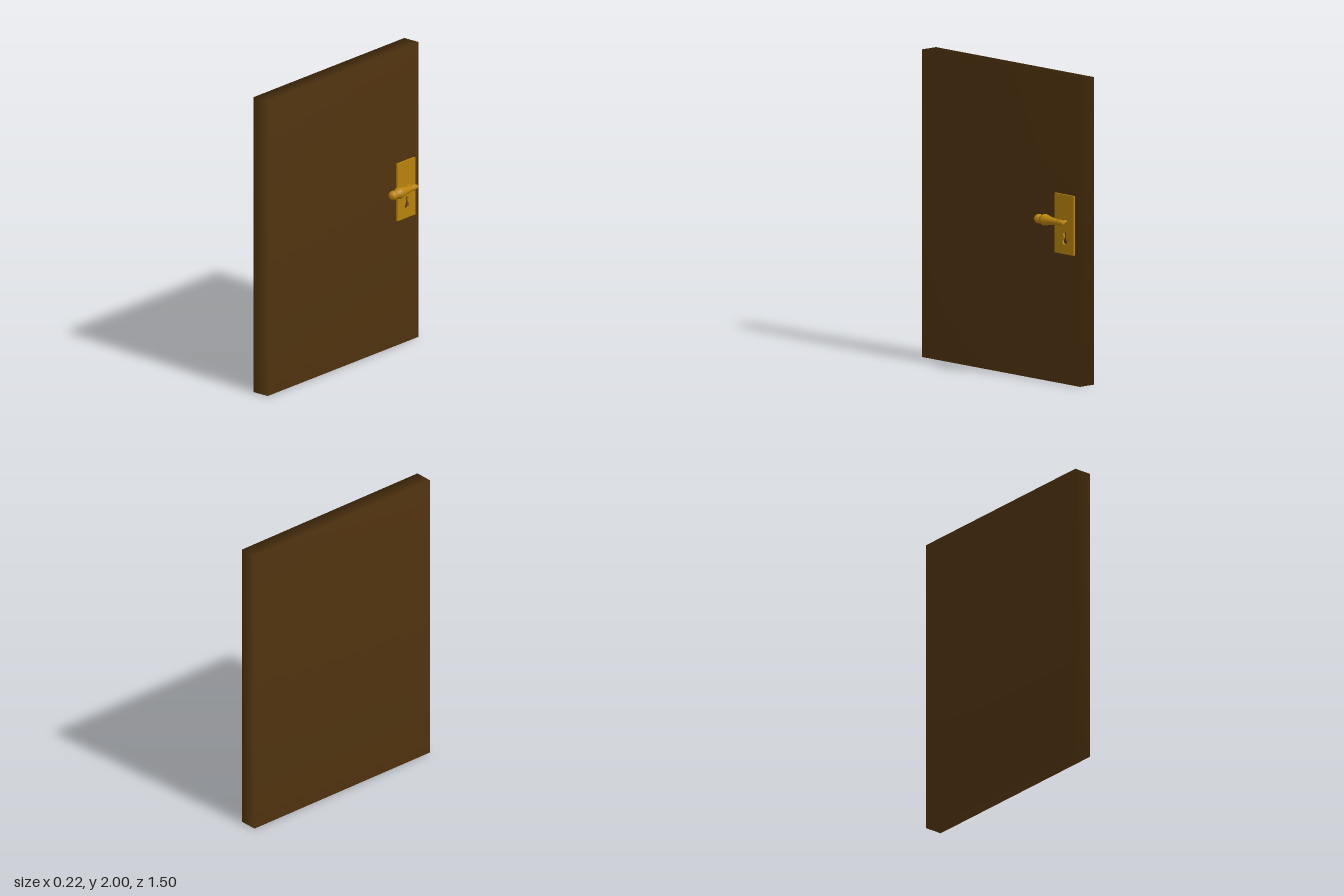
import * as THREE from 'three';
import { mergeVertices } from 'three/addons/utils/BufferGeometryUtils.js';

export function createModel() {
  const model = new THREE.Group();
  model.name = 'door';

  const wood = new THREE.MeshStandardMaterial({ color: 0x50330f });
  wood.name = 'dark wood';
  const brass = new THREE.MeshStandardMaterial({ color: 0xb8820c });
  brass.name = 'brass';

  const add = (parent, name, geometry, material, x = 0, y = 0, z = 0) => {
    const mesh = new THREE.Mesh(geometry, material);
    mesh.name = name;
    mesh.position.set(x, y, z);
    parent.add(mesh);
    return mesh;
  };

  // Door leaf: shared corners give soft, area-weighted normals around the rim
  let leaf = new THREE.BoxGeometry(0.12, 2, 1.5);
  leaf.deleteAttribute('normal');
  leaf.deleteAttribute('uv');
  leaf = mergeVertices(leaf);
  leaf.computeVertexNormals();
  add(model, 'doorLeaf', leaf, wood, -0.05, 1, 0);

  // Lock plate, drawn with u = -z and pierced by a keyhole
  const plate = new THREE.Shape();
  plate.moveTo(0.525, 0.847);
  plate.lineTo(0.702, 0.847);
  plate.lineTo(0.702, 1.234);
  plate.lineTo(0.525, 1.234);
  plate.closePath();
  const keyhole = new THREE.Path();
  keyhole.absarc(0.619, 0.977, 0.014, -0.9, Math.PI + 0.9, false);
  keyhole.lineTo(0.608, 0.952);
  keyhole.absarc(0.619, 0.929, 0.021, Math.PI - 0.9, Math.PI * 2 + 0.9, false);
  keyhole.closePath();
  plate.holes.push(keyhole);
  const plateGeometry = new THREE.ExtrudeGeometry(plate, {
    depth: 0.015, bevelEnabled: false, curveSegments: 10,
  });
  plateGeometry.rotateY(Math.PI / 2);
  add(model, 'lockPlate', plateGeometry, brass, 0.009, 0, 0);

  // Handle: spindle, turned lever and ball end
  const handle = new THREE.Group();
  handle.name = 'handle';
  handle.position.set(0.071, 1.059, 0);
  model.add(handle);

  const turned = (points) => new THREE.LatheGeometry(
    new THREE.SplineCurve(points.map(([r, h]) => new THREE.Vector2(r, h))).getPoints(32), 24);

  const spindle = turned([[0.014, 0], [0.01, 0.012], [0.01, 0.03], [0.013, 0.052]]);
  spindle.rotateZ(-Math.PI / 2);
  add(handle, 'spindle', spindle, brass, -0.051, 0, -0.628);

  const lever = turned([
    [0.0005, -0.661], [0.013, -0.659], [0.017, -0.64], [0.02, -0.622], [0.018, -0.605],
    [0.023, -0.565], [0.029, -0.525], [0.037, -0.49], [0.037, -0.475],
    [0.027, -0.455], [0.024, -0.446],
  ]);
  lever.rotateX(Math.PI / 2);
  add(handle, 'lever', lever, brass);

  const ball = new THREE.SphereGeometry(0.031, 24, 16);
  add(handle, 'ballEnd', ball, brass, 0, 0, -0.426);

  return model;
}
